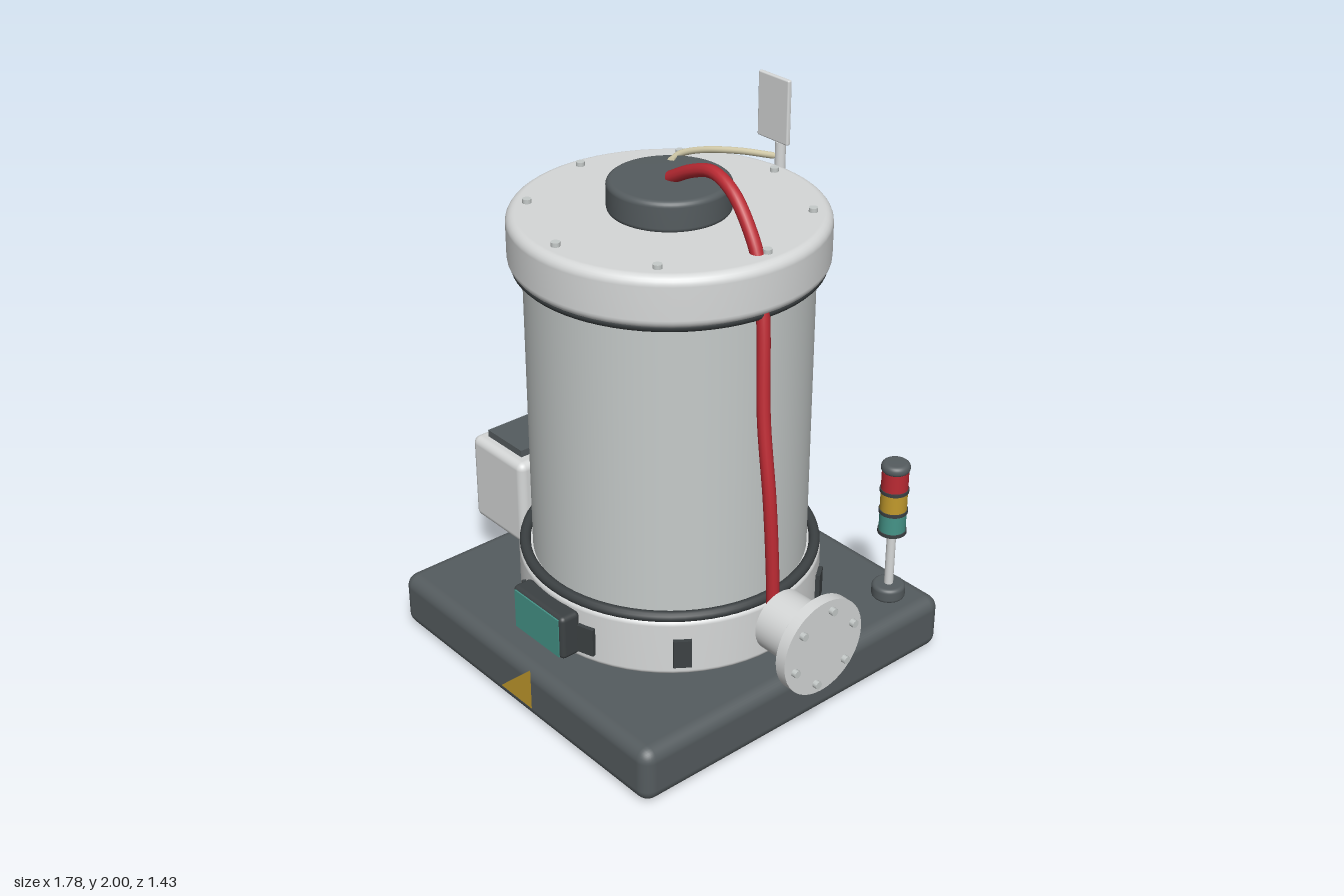
import * as THREE from 'three';
import { RoundedBoxGeometry } from 'three/addons/geometries/RoundedBoxGeometry.js';

function material(name, color, side = THREE.FrontSide) {
  const m = new THREE.MeshStandardMaterial({ color, side });
  m.name = name;
  return m;
}

export function createModel() {
  const model = new THREE.Group();
  model.name = 'processVessel';

  const steel = material('brushed steel', 0xc6cbca);
  const enamel = material('light enamel', 0xd6d8d8);
  const dark = material('dark grey', 0x555c5f);
  const rubber = material('black rubber', 0x3c4143);
  const red = material('red', 0xbb2a33);
  const yellow = material('yellow', 0xc29a2c, THREE.DoubleSide);
  const teal = material('teal', 0x459488);
  const cream = material('cream', 0xd8d0ae);

  const CX = -0.02; // vessel axis

  function add(name, geometry, mat, x = 0, y = 0, z = 0, parent = model) {
    const mesh = new THREE.Mesh(geometry, mat);
    mesh.name = name;
    mesh.position.set(x, y, z);
    parent.add(mesh);
    return mesh;
  }

  // Box given by its min and max corners
  function box(name, mat, [x0, y0, z0], [x1, y1, z1], radius) {
    const g = new RoundedBoxGeometry(x1 - x0, y1 - y0, z1 - z0, 4, radius);
    return add(name, g, mat, (x0 + x1) / 2, (y0 + y1) / 2, (z0 + z1) / 2);
  }

  // Turned disc with rounded rims
  function disc(name, mat, r, y0, y1, bevel, x, z) {
    const pts = [new THREE.Vector2(0, y0)];
    for (const [cy, start] of [[y0 + bevel, -Math.PI / 2], [y1 - bevel, 0]]) {
      for (let i = 0; i <= 6; i++) {
        const a = start + (i / 6) * Math.PI / 2;
        pts.push(new THREE.Vector2(r - bevel + bevel * Math.cos(a), cy + bevel * Math.sin(a)));
      }
    }
    pts.push(new THREE.Vector2(0, y1));
    return add(name, new THREE.LatheGeometry(pts, 64), mat, x, 0, z);
  }

  function cylinder(name, mat, r, y0, y1, x, z, sides = 32) {
    return add(name, new THREE.CylinderGeometry(r, r, y1 - y0, sides), mat, x, (y0 + y1) / 2, z);
  }

  function gasket(name, R, tube, y) {
    const g = new THREE.TorusGeometry(R, tube, 12, 72).rotateX(Math.PI / 2);
    return add(name, g, rubber, CX, y, 0);
  }

  // Cable through points, with closed ends
  function cable(name, mat, r, points) {
    const pts = points.map(p => new THREE.Vector3(...p));
    const curve = new THREE.CatmullRomCurve3(pts);
    add(name, new THREE.TubeGeometry(curve, 72, r, 12), mat);
    for (const [t, sign] of [[0, -1], [1, 1]]) {
      const cap = add(name + 'End', new THREE.CircleGeometry(r, 12), mat);
      cap.position.copy(curve.getPoint(t));
      cap.quaternion.setFromUnitVectors(new THREE.Vector3(0, 0, 1),
        curve.getTangent(t).multiplyScalar(sign));
    }
  }

  // Plinth and hazard triangle
  box('plinth', dark, [-0.73, 0, -0.712], [0.69, 0.215, 0.712], 0.05);
  const tri = new THREE.Shape([
    new THREE.Vector2(-0.11, 0.053), new THREE.Vector2(0.07, 0.053), new THREE.Vector2(0.07, 0.22)]);
  add('hazardTriangle', new THREE.ShapeGeometry(tri), yellow, 0, 0, 0.716);

  // Vessel: foot ring, shell, lid and cap
  disc('footRing', enamel, 0.55, 0.21, 0.435, 0.02, CX, 0);
  gasket('lowerGasket', 0.528, 0.02, 0.443);
  cylinder('shell', steel, 0.5, 0.4, 1.58, CX, 0, 72);
  gasket('upperGasket', 0.52, 0.02, 1.555);
  disc('lid', enamel, 0.55, 1.55, 1.737, 0.035, CX, 0);
  disc('lidCap', dark, 0.213, 1.73, 1.843, 0.02, CX, 0);
  for (let i = 0; i < 8; i++) {
    const a = i * Math.PI / 4;
    cylinder('lidBolt', steel, 0.016, 1.73, 1.752, CX + 0.48 * Math.cos(a), 0.48 * Math.sin(a), 12);
  }

  // Slots around the foot ring
  for (let i = 0; i < 10; i++) {
    const a = i * Math.PI / 5;
    const slot = add('ringSlot', new THREE.BoxGeometry(0.03, 0.11, 0.065), rubber,
      CX + 0.55 * Math.cos(a), 0.307, 0.55 * Math.sin(a));
    slot.rotation.y = -a;
  }

  // Control panel
  box('controlPanel', rubber, [-0.163, 0.237, 0.53], [0.123, 0.412, 0.612], 0.018);
  add('screen', new THREE.BoxGeometry(0.25, 0.155, 0.008), teal, CX, 0.324, 0.612);

  // Side cabinet
  box('cabinet', enamel, [-0.89, 0.215, -0.265], [-0.575, 0.572, 0.26], 0.03);
  add('cabinetTop', new THREE.BoxGeometry(0.21, 0.04, 0.43), dark, -0.735, 0.58, 0);

  // Flanged side port
  const port = new THREE.Group();
  port.name = 'sidePort';
  port.position.set(0, 0.467, 0.09);
  model.add(port);
  const along = (r, x0, x1, sides) =>
    new THREE.CylinderGeometry(r, r, x1 - x0, sides).rotateZ(-Math.PI / 2).translate((x0 + x1) / 2, 0, 0);
  add('portPipe', along(0.112, 0.66, 0.84, 40), enamel, 0, 0, 0, port);
  add('portFlange', along(0.178, 0.83, 0.872, 48), enamel, 0, 0, 0, port);
  for (let i = 0; i < 6; i++) {
    const a = (17 + 60 * i) * Math.PI / 180;
    add('flangeBolt', along(0.014, 0.81, 0.89, 10), steel,
      0, 0.138 * Math.sin(a), -0.138 * Math.cos(a), port);
  }

  // Signal tower
  const TX = 0.55, TZ = -0.571;
  disc('towerFoot', dark, 0.062, 0.21, 0.268, 0.015, TX, TZ);
  cylinder('towerPole', enamel, 0.017, 0.25, 0.5, TX, TZ, 20);
  [teal, yellow, red].forEach((lamp, i) => {
    const y = 0.49 + i * 0.086;
    cylinder('lampCollar', rubber, 0.053, y, y + 0.013, TX, TZ);
    cylinder('lamp', lamp, 0.049, y + 0.013, y + 0.086, TX, TZ);
  });
  disc('towerCap', dark, 0.053, 0.742, 0.782, 0.018, TX, TZ);

  // Rear mast and aerial plate
  cylinder('mast', enamel, 0.02, 0.215, 1.742, -0.2, -0.68, 20);
  box('aerialPlate', enamel, [-0.278, 1.757, -0.654], [-0.122, 2, -0.636], 0.006);

  // Cables
  cable('signalCable', cream, 0.012, [
    [-0.13, 1.843, -0.1], [-0.19, 1.825, -0.2], [-0.228, 1.79, -0.34],
    [-0.225, 1.745, -0.5], [-0.2, 1.697, -0.645]]);
  cable('powerCable', red, 0.023, [
    [-0.015, 1.845, 0], [0.09, 1.9, -0.003], [0.2, 1.93, 0], [0.305, 1.895, 0.01],
    [0.405, 1.79, 0.022], [0.455, 1.7, 0.03], [0.5, 1.54, 0.05], [0.552, 1.2, 0.085],
    [0.6, 0.915, 0.095], [0.62, 0.65, 0.092], [0.627, 0.467, 0.09]]);

  return model;
}
